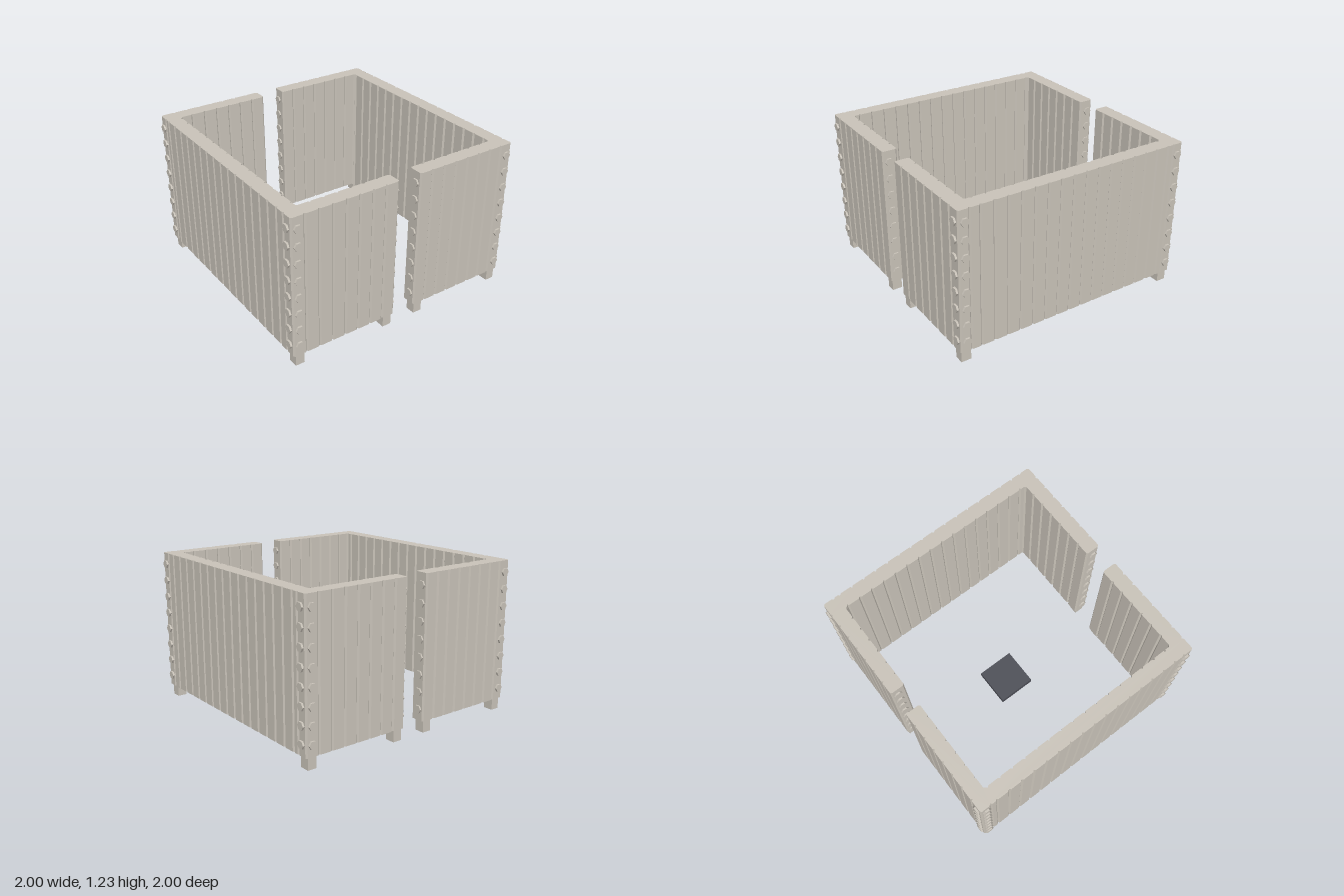
import * as THREE from 'three';

const OUT = 0.985, IN = 0.865, DOOR = 0.095; // wall faces and half doorway
const BASE = 0.095, TOP = 1.23;
const V = 0.012;                             // plank chamfer

export function createModel() {
  const model = new THREE.Group();
  model.name = 'plankEnclosure';
  const plank = new THREE.MeshStandardMaterial({ name: 'pale plank', color: 0xc8c2b8 });
  const hollow = new THREE.MeshStandardMaterial({ name: 'pale post', color: 0xc8c2b8, side: THREE.DoubleSide });
  const slate = new THREE.MeshStandardMaterial({ name: 'dark slate', color: 0x4b4d55, side: THREE.DoubleSide });

  const add = (parent, name, geometry, material, x = 0, y = 0, z = 0) => {
    const mesh = new THREE.Mesh(geometry, material);
    mesh.name = name;
    mesh.position.set(x, y, z);
    parent.add(mesh);
    return mesh;
  };

  // Box without its underside
  const openBox = (w, h, d) => {
    const g = new THREE.BoxGeometry(w, h, d);
    const index = Array.from(g.index.array);
    index.splice(18, 6);
    g.setIndex(index);
    g.clearGroups();
    return g;
  };

  // Plank joints along each direction
  const jointsX = Array.from({ length: 7 }, (_, i) => DOOR + (i + 1) * (OUT - DOOR) / 8);
  const jointsZ = Array.from({ length: 16 }, (_, i) => 0.81 - i * 0.11);

  // C-shaped plan of the wall on the +x side, with a V groove at each joint
  const wallPlan = () => {
    const pts = [];
    const alongX = (z, inward, from, to) => {
      const dir = Math.sign(to - from);
      pts.push([from + dir * V, z]);
      const stops = jointsX.filter((x) => x < Math.max(from, to) - 0.03).sort((a, b) => dir * (a - b));
      for (const x of stops) pts.push([x - dir * V, z], [x, z + inward * V], [x + dir * V, z]);
      pts.push([to - dir * V, z]);
    };
    const alongZ = (x, inward, from, to, joints) => {
      const dir = Math.sign(to - from);
      pts.push([x, from + dir * V]);
      for (const z of [...joints].sort((a, b) => dir * (a - b)))
        pts.push([x, z - dir * V], [x + inward * V, z], [x, z + dir * V]);
      pts.push([x, to - dir * V]);
    };
    alongX(OUT, -1, DOOR, OUT);
    alongZ(OUT, -1, OUT, -OUT, [0.895, ...jointsZ, -0.895]);
    alongX(-OUT, 1, OUT, DOOR);
    alongZ(DOOR, 1, -OUT, -IN, []);
    alongX(-IN, -1, DOOR, IN);
    alongZ(IN, 1, -IN, IN, jointsZ.filter((z) => Math.abs(z) < IN - 2 * V));
    alongX(IN, 1, IN, DOOR);
    alongZ(DOOR, 1, IN, OUT, []);
    return pts;
  };

  const plan = wallPlan();
  const boltGeometry = new THREE.CylinderGeometry(0.033, 0.033, 0.03, 6).toNonIndexed();
  boltGeometry.computeVertexNormals();

  for (const side of [1, -1]) {
    const half = new THREE.Group();
    half.name = side > 0 ? 'leftHalf' : 'rightHalf';
    model.add(half);

    // Grooved wall
    const shape = new THREE.Shape(plan.map(([x, z]) => new THREE.Vector2(side * x, -z)));
    const wall = new THREE.ExtrudeGeometry(shape, { depth: TOP - BASE, bevelEnabled: false });
    wall.rotateX(-Math.PI / 2);
    add(half, 'plankWall', wall, plank, 0, BASE, 0);

    for (const end of [1, -1]) {
      // Hollow posts under the corner and the doorway
      for (const x of [0.927, 0.15])
        add(half, 'footPost', openBox(0.074, BASE, 0.08), hollow, side * x, BASE / 2, end * 0.933);

      // Columns of hexagonal bolts: end face, side face, doorway face
      for (let i = 0; i < 8; i++) {
        const y = 0.185 + i * 0.1362;
        const faceBolt = add(half, 'endBolt', boltGeometry, plank, side * 0.935, y, end * 0.985);
        faceBolt.rotation.set(Math.PI / 2, Math.PI / 2, 0, 'XYZ');
        for (const [name, x] of [['sideBolt', 0.985], ['doorBolt', 0.097]]) {
          const bolt = add(half, name, boltGeometry, plank, side * x, y, end * 0.935);
          bolt.rotation.z = Math.PI / 2;
        }
      }
    }
  }

  // Dark hollow slab in the middle
  add(model, 'centreSlab', openBox(0.316, 0.055, 0.316), slate, 0, 0.0275, -0.002);
  return model;
}
